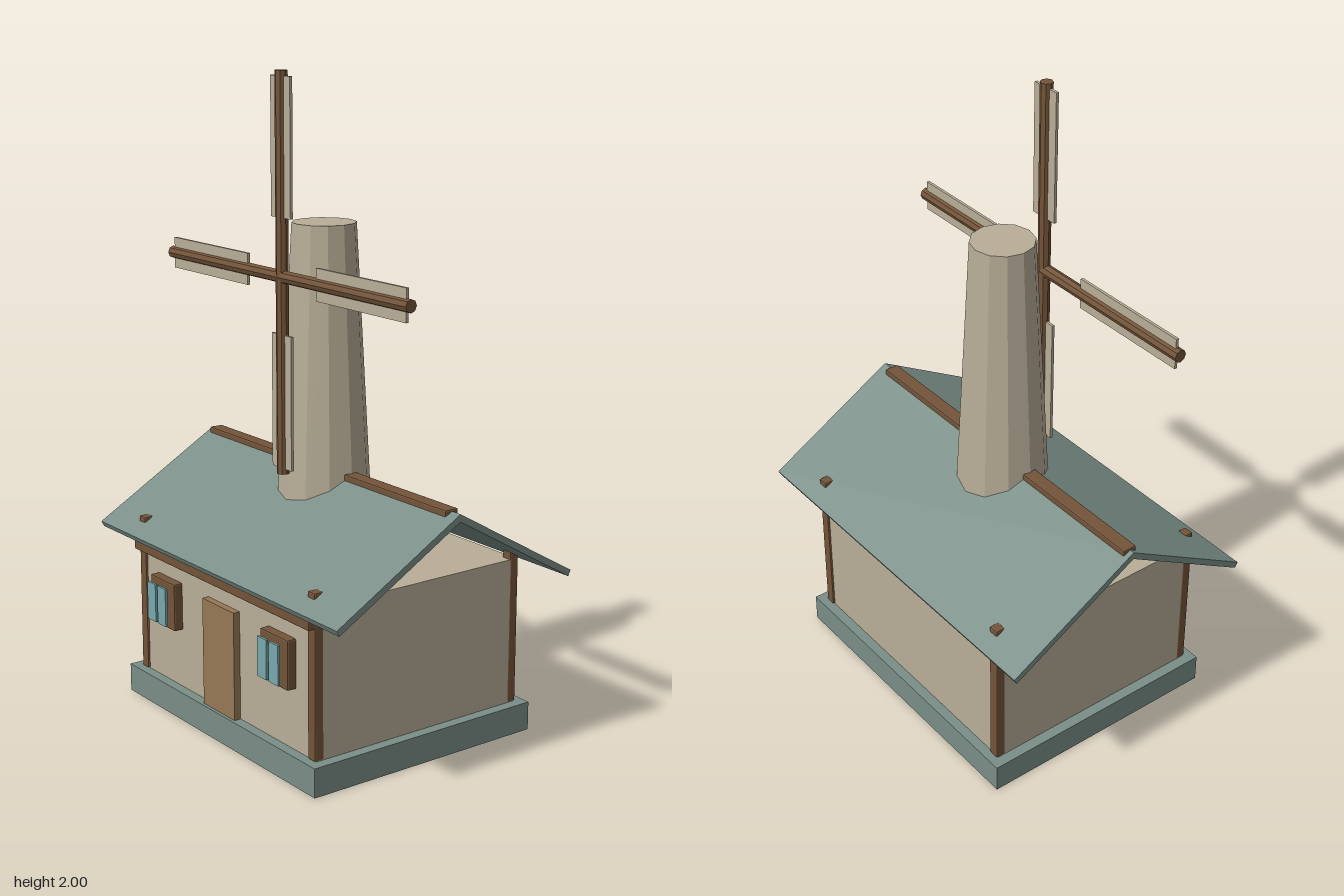
import * as THREE from 'three';
import { RoundedBoxGeometry } from 'three/addons/geometries/RoundedBoxGeometry.js';

const mat = (name, color, extra = {}) => {
  const m = new THREE.MeshStandardMaterial({ color, ...extra });
  m.name = name;
  return m;
};

export function createModel() {
  const plaster = mat('plaster', 0xb8ad97, { flatShading: true });
  const slate = mat('slate', 0x7a8e87);
  const wood = mat('darkWood', 0x735439, { flatShading: true });
  const doorWood = mat('doorWood', 0x967855);
  const glass = mat('glass', 0x78a9ad);

  const model = new THREE.Group();
  model.name = 'windmillHouse';
  // The house sits slightly off the middle of the roof
  const house = new THREE.Group();
  house.name = 'house';
  house.position.x = -0.0125;
  model.add(house);

  const add = (name, geo, material, x, y, z, parent = house) => {
    const mesh = new THREE.Mesh(geo, material);
    mesh.name = name;
    mesh.position.set(x, y, z);
    parent.add(mesh);
    return mesh;
  };
  const box = (w, h, d) => new THREE.BoxGeometry(w, h, d);
  const beam = (w, h, d) => new RoundedBoxGeometry(w, h, d, 1, 0.005);

  // Plinth and walls; the gables stay open above the walls
  add('plinth', box(1.005, 0.09, 0.815), slate, 0, 0.045, 0);
  add('walls', box(0.936, 0.46, 0.75), plaster, 0, 0.32, 0);

  // Corner posts whose tops poke through the roof
  for (const x of [-1, 1]) {
    for (const z of [-1, 1]) {
      add('cornerPost', beam(0.035, 0.505, 0.033), wood, x * 0.4515, 0.3425, z * 0.3655);
    }
  }
  add('frontBeam', beam(0.935, 0.034, 0.03), wood, 0, 0.505, 0.388);

  // Door and windows
  add('door', box(0.168, 0.34, 0.03), doorWood, 0, 0.26, 0.382);
  for (const side of [-1, 1]) {
    const win = new THREE.Group();
    win.name = side > 0 ? 'leftWindow' : 'rightWindow';
    win.position.set(side * 0.301, 0.355, 0);
    house.add(win);
    add('windowFrame', beam(0.137, 0.153, 0.034), wood, 0, 0, 0.388, win);
    for (const s of [-1, 1]) {
      add('windowPane', box(0.046, 0.122, 0.008), glass, s * 0.029, 0, 0.423, win);
    }
  }

  // Two sloping roof halves, one extruded cross-section each
  for (const side of [-1, 1]) {
    const pts = [[0, 0.798], [0, 0.775], [0.425, 0.53], [0.434, 0.5475]];
    const shape = new THREE.Shape(pts.map(([z, y]) => new THREE.Vector2(-z * side, y)));
    const geo = new THREE.ExtrudeGeometry(shape, { depth: 1.259, bevelEnabled: false });
    geo.translate(0, 0, -0.6295);
    geo.rotateY(Math.PI / 2);
    add(side > 0 ? 'frontRoof' : 'backRoof', geo, slate, -0.002, 0, 0, model);
  }
  add('ridgeBeam', beam(1.205, 0.045, 0.047), wood, 0, 0.781, 0);

  // Tapering twelve-sided tower
  add('tower', new THREE.CylinderGeometry(0.098, 0.153, 1, 12), plaster, 0, 1.05, 0);

  // Sail cross: two full-length spars and four thin plates
  const sails = new THREE.Group();
  sails.name = 'sails';
  sails.position.set(0, 1.4, 0.154);
  house.add(sails);
  for (let i = 0; i < 2; i++) {
    const spar = add('sailSpar', new THREE.CylinderGeometry(0.0195, 0.0195, 1.2, 8), wood, 0, 0, 0, sails);
    spar.rotation.z = i * Math.PI / 2;
  }
  for (let i = 0; i < 4; i++) {
    const arm = new THREE.Group();
    arm.name = 'sailArm';
    arm.rotation.z = i * Math.PI / 2;
    sails.add(arm);
    add('sailPlate', box(0.097, 0.41, 0.009), plaster, 0, 0.379, 0, arm);
  }
  return model;
}
